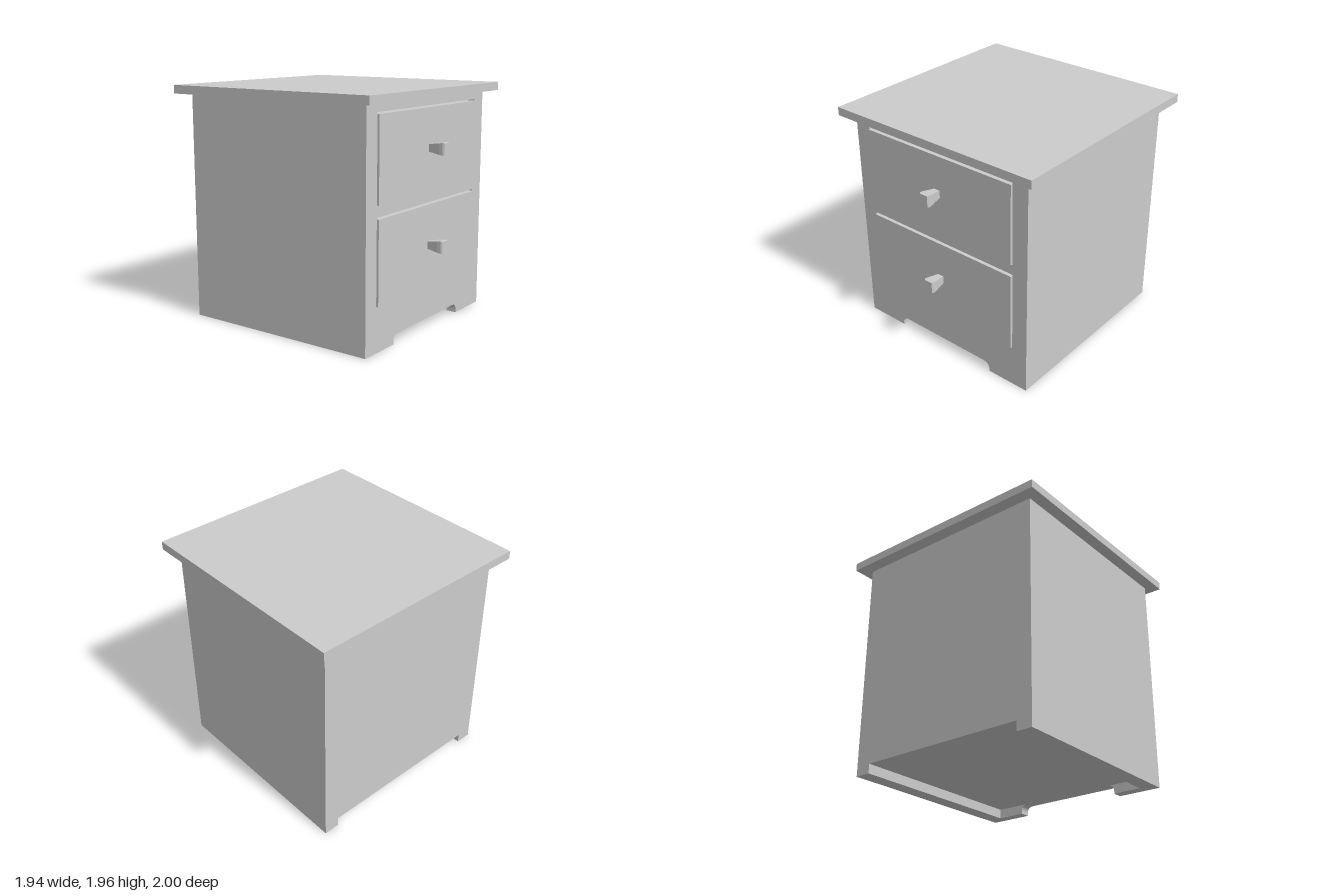
import * as THREE from 'three';

export function createModel() {
  const model = new THREE.Group();
  model.name = 'nightstand';
  const material = new THREE.MeshStandardMaterial({ color: 0xcccccc });

  function add(name, geometry, parent = model) {
    const mesh = new THREE.Mesh(geometry, material);
    mesh.name = name;
    parent.add(mesh);
    return mesh;
  }

  // Box given by its min and max corners
  function box(name, [x0, y0, z0], [x1, y1, z1], parent) {
    const mesh = add(name, new THREE.BoxGeometry(x1 - x0, y1 - y0, z1 - z0), parent);
    mesh.position.set((x0 + x1) / 2, (y0 + y1) / 2, (z0 + z1) / 2);
    return mesh;
  }

  const W = 0.87, H = 1.89, BACK = -0.895, FRONT = 0.84;
  const SIDE = 0.735;   // inner face of the side panels
  const PANEL = 0.75;   // back face of the front panel
  const FOOT = 0.08;    // clearance under the cabinet

  // Overhanging top
  box('top', [-0.97, H, -1], [0.97, 1.96, 0.935]);

  // Carcass behind the front panel, raised off the floor
  box('carcass', [-SIDE, FOOT, BACK], [SIDE, H, PANEL]);

  // Side panels reach the floor and the back corners
  box('leftSide', [SIDE, 0, BACK], [W, H, PANEL]);
  box('rightSide', [-W, 0, BACK], [-SIDE, H, PANEL]);

  // Front panel with a rounded cutout between the feet and two drawer openings
  const front = new THREE.Shape();
  front.moveTo(-W, 0);
  front.lineTo(-0.49, 0);
  front.lineTo(-0.49, 0.03);
  front.quadraticCurveTo(-0.485, FOOT, -0.43, FOOT);
  front.lineTo(0.43, FOOT);
  front.quadraticCurveTo(0.485, FOOT, 0.49, 0.03);
  front.lineTo(0.49, 0);
  front.lineTo(W, 0);
  front.lineTo(W, H);
  front.lineTo(-W, H);
  front.closePath();

  const drawers = [
    { name: 'lowerDrawer', bottom: 0.36, knob: 0.705 },
    { name: 'upperDrawer', bottom: 1.135, knob: 1.49 },
  ];
  for (const { bottom } of drawers) {
    const hole = new THREE.Path();
    hole.moveTo(-0.73, bottom);
    hole.lineTo(-0.73, bottom + 0.688);
    hole.lineTo(0.73, bottom + 0.688);
    hole.lineTo(0.73, bottom);
    hole.closePath();
    front.holes.push(hole);
  }
  add('frontPanel', new THREE.ExtrudeGeometry(front, {
    depth: FRONT - PANEL, bevelEnabled: false, curveSegments: 8,
  })).position.z = PANEL;

  // Flared square knob: [z, half width, half height] from base to tip
  const sections = [
    [0.85, 0.028, 0.03], [0.92, 0.038, 0.04], [0.955, 0.045, 0.045],
    [0.985, 0.045, 0.05], [1, 0.037, 0.047],
  ];
  function knobGeometry() {
    const n = sections.length - 1;
    const geometry = new THREE.BoxGeometry(2, 2, n, 1, 1, n);
    const p = geometry.attributes.position;
    for (let i = 0; i < p.count; i++) {
      const [z, w, h] = sections[Math.round(p.getZ(i) + n / 2)];
      p.setXYZ(i, p.getX(i) * w, p.getY(i) * h, z);
    }
    const flat = geometry.toNonIndexed();
    flat.computeVertexNormals();
    return flat;
  }

  // Drawers stand slightly proud, with a gap above each
  for (const { name, bottom, knob } of drawers) {
    const drawer = new THREE.Group();
    drawer.name = name;
    model.add(drawer);
    box(name + 'Front', [-0.725, bottom + 0.004, PANEL], [0.725, bottom + 0.675, 0.855], drawer);
    add(name + 'Knob', knobGeometry(), drawer).position.y = knob;
  }

  return model;
}
